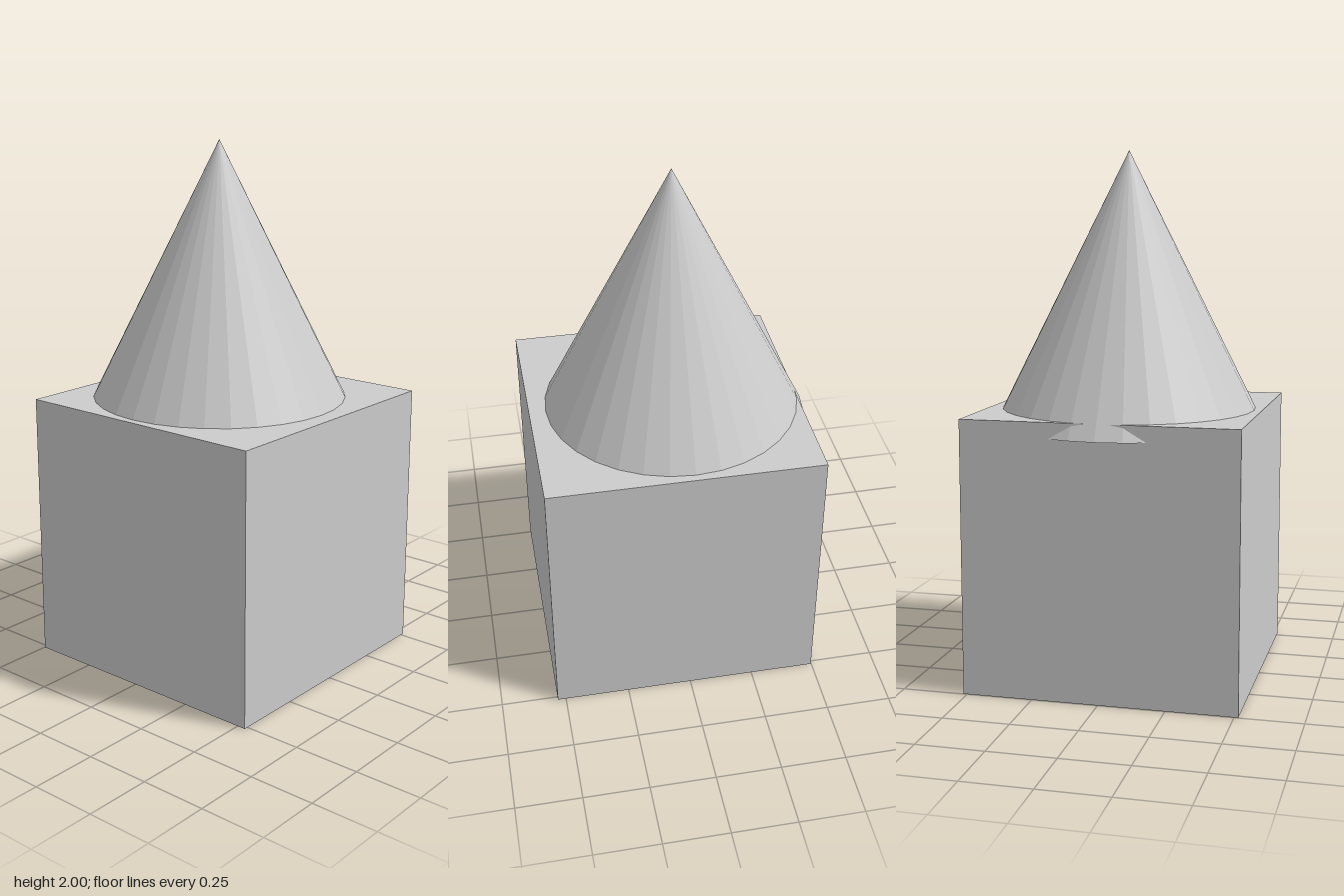
import * as THREE from 'three';

export function createModel() {
  const group = new THREE.Group();
  const material = new THREE.MeshStandardMaterial({ color: 0xcccccc, flatShading: true });
  const size = 1.03;

  const addPart = (name, geometry, x, y) => {
    const mesh = new THREE.Mesh(geometry, material);
    mesh.name = name;
    mesh.position.set(x, y, 0);
    group.add(mesh);
  };

  // Cube base
  addPart('base', new THREE.BoxGeometry(size, size, size), 0.017, size / 2);

  // Faceted cone roof, sunk slightly into the base and overhanging one side
  addPart('roof', new THREE.ConeGeometry(size / 2, size, 32), -0.017, 2 - size / 2);

  return group;
}
